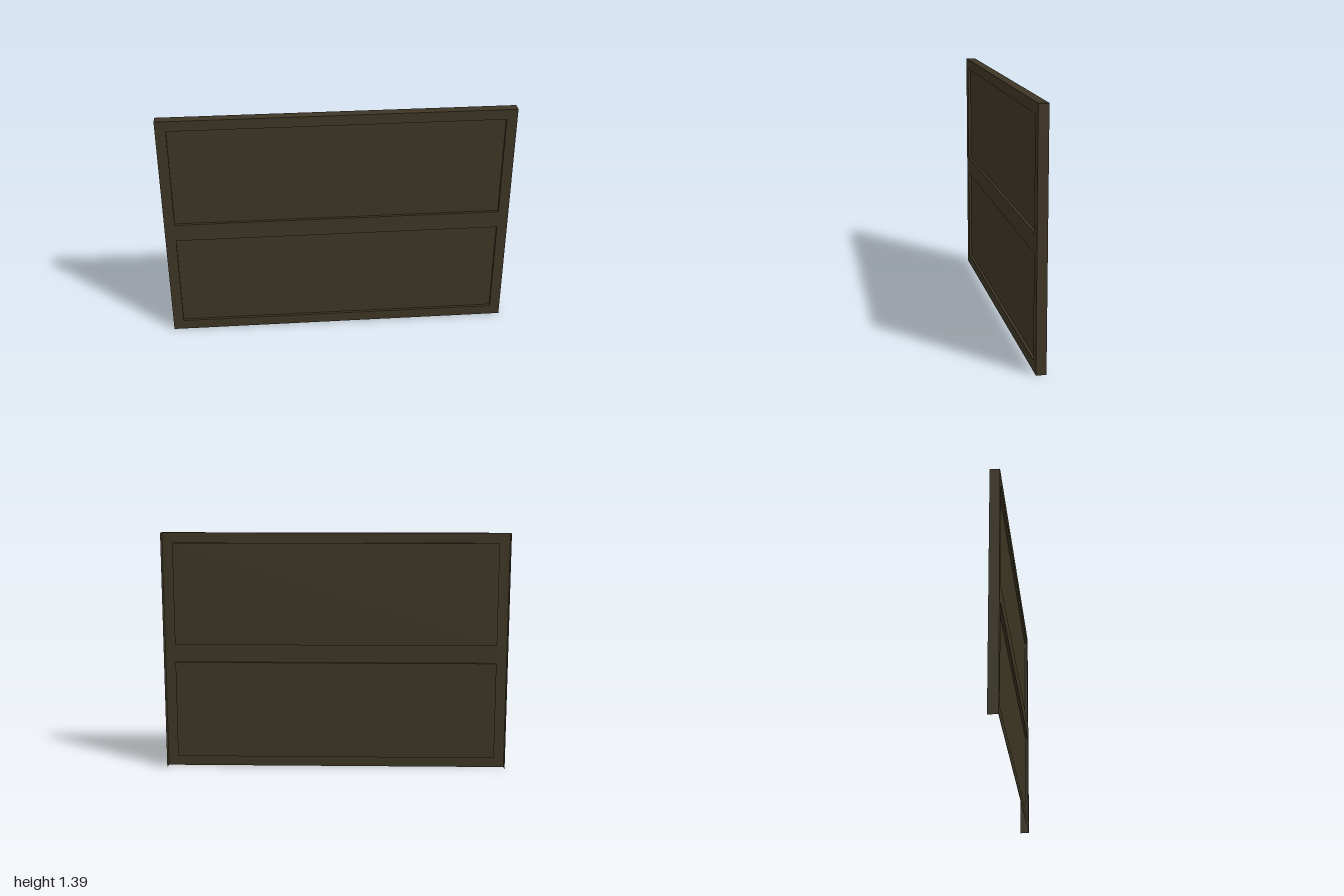
import * as THREE from 'three';

const W = 2, H = 1.39, FRONT = 0.0275, BACK = -0.0275, RECESS = 0.016;
// Recessed fields as [x0, y0, x1, y1]
const FIELDS = [[-0.94, 0.06, 0.94, 0.63], [-0.94, 0.735, 0.94, 1.33]];

export function createModel() {
  const model = new THREE.Group();
  const darkBrown = new THREE.MeshStandardMaterial({ color: 0x3d3524, side: THREE.DoubleSide });
  darkBrown.name = 'darkBrown';

  const add = (name, geometry, parent = model) => {
    const mesh = new THREE.Mesh(geometry, darkBrown);
    mesh.name = name;
    parent.add(mesh);
    return mesh;
  };

  // Thin wall between two z depths; normal points along `dir` ('x' or 'y') with `sign`
  const wall = (name, dir, sign, size, x, y, zA, zB, parent) => {
    const depth = Math.abs(zA - zB);
    const geometry = dir === 'x'
      ? new THREE.PlaneGeometry(depth, size).rotateY(sign * Math.PI / 2)
      : new THREE.PlaneGeometry(size, depth).rotateX(-sign * Math.PI / 2);
    add(name, geometry, parent).position.set(x, y, (zA + zB) / 2);
  };

  // Front sheet with two rectangular openings
  const rect = (path, x0, y0, x1, y1) =>
    path.moveTo(x0, y0).lineTo(x1, y0).lineTo(x1, y1).lineTo(x0, y1).closePath();
  const sheet = rect(new THREE.Shape(), -W / 2, 0, W / 2, H);
  for (const f of FIELDS) sheet.holes.push(rect(new THREE.Path(), ...f));
  add('frontFrame', new THREE.ShapeGeometry(sheet)).position.z = FRONT;

  // Outer returns: top and both sides; back and bottom stay open
  wall('topEdge', 'y', 1, W, 0, H, BACK, FRONT);
  wall('leftEdge', 'x', 1, H, W / 2, H / 2, BACK, FRONT);
  wall('rightEdge', 'x', -1, H, -W / 2, H / 2, BACK, FRONT);

  // Recessed panels with their short inner walls
  FIELDS.forEach(([x0, y0, x1, y1], i) => {
    const group = new THREE.Group();
    group.name = i ? 'upperPanel' : 'lowerPanel';
    model.add(group);
    const w = x1 - x0, h = y1 - y0, cx = (x0 + x1) / 2, cy = (y0 + y1) / 2;
    const z = FRONT - RECESS;
    add('panelFace', new THREE.PlaneGeometry(w, h), group).position.set(cx, cy, z);
    wall('recessBottom', 'y', 1, w, cx, y0, z, FRONT, group);
    wall('recessTop', 'y', -1, w, cx, y1, z, FRONT, group);
    wall('recessRight', 'x', 1, h, x0, cy, z, FRONT, group);
    wall('recessLeft', 'x', -1, h, x1, cy, z, FRONT, group);
  });

  return model;
}
